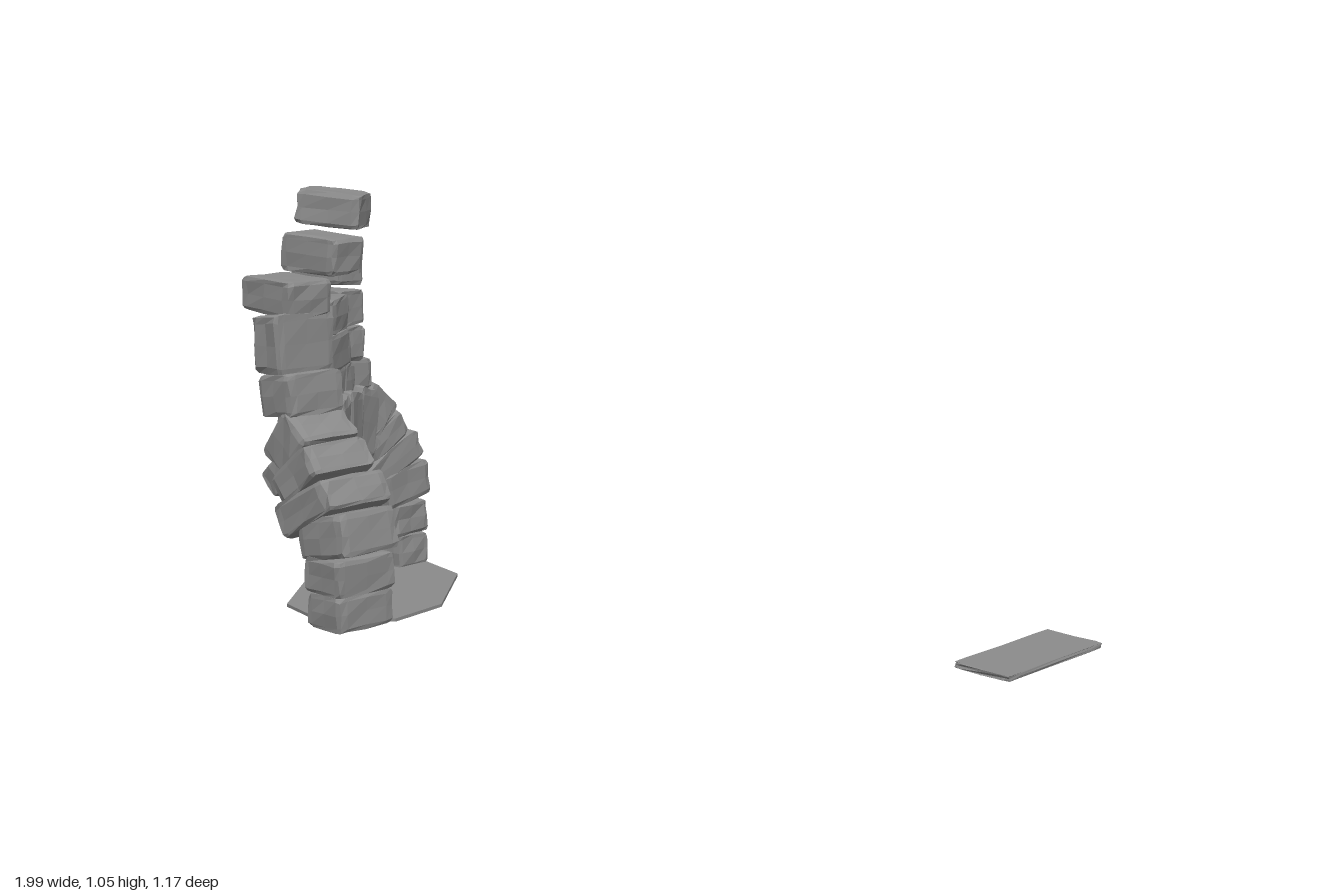
import * as THREE from 'three';

const rad = THREE.MathUtils.degToRad;
const stoneGrey = new THREE.MeshStandardMaterial({ color: 0x8a8a8a, flatShading: true });

// small repeatable noise in -1..1
function noise(a, b, c, seed) {
  const s = Math.sin(a * 127.1 + b * 311.7 + c * 74.7 + seed * 53.3) * 43758.5453;
  return (s - Math.floor(s)) * 2 - 1;
}

// rough-hewn block: a box with worn corners and slightly uneven faces
function stoneGeometry(w, h, d, seed, rough = 0.04, wear = 0.035) {
  const g = new THREE.BoxGeometry(1, 1, 1, 4, 4, 4);
  const p = g.attributes.position;
  for (let i = 0; i < p.count; i++) {
    const v = [p.getX(i), p.getY(i), p.getZ(i)].map(k => Math.round(k * 4) / 4);
    const onEdge = v.filter(k => Math.abs(k) === 0.5).length;
    const shrink = 1 - wear * (onEdge - 1);
    const q = v.map((k, j) => {
      const spread = Math.abs(k) === 0.25 ? 1.5 : 1;
      return k * spread * shrink + noise(v[0] + j, v[1], v[2], seed) * rough * 0.5;
    });
    // one end of the block is a little taller than the other
    q[1] *= 1 + q[0] * 0.12 * noise(1, 2, 3, seed);
    p.setXYZ(i, q[0] * w, q[1] * h, q[2] * d);
  }
  g.computeVertexNormals();
  return g;
}

// x, y, z, length along the arch, height, thickness, tilt in the arch plane
const backPier = [
  [-0.897, 0.058, -0.045, 0.11, 0.088, 0.175, 0],
  [-0.902, 0.147, -0.042, 0.125, 0.092, 0.175, 1],
  [-0.897, 0.243, -0.03, 0.165, 0.1, 0.175, -9],
  [-0.897, 0.308, 0.018, 0.22, 0.08, 0.175, -24],
  [-0.897, 0.378, 0.042, 0.155, 0.075, 0.17, -30],
  [-0.897, 0.45, 0.078, 0.12, 0.11, 0.17, -48],
  [-0.89, 0.36, 0.12, 0.09, 0.07, 0.17, -45],
  [-0.9, 0.555, 0.15, 0.13, 0.085, 0.165, 0],
];
const backPierTop = [
  [-0.89, 0.64, 0.172, 0.1, 0.092, 0.165, 2],
  [-0.885, 0.735, 0.177, 0.1, 0.095, 0.165, -2],
  [-0.885, 0.842, 0.177, 0.1, 0.095, 0.165, 2],
];
const frontPier = [
  [-0.464, 0.058, 0.488, 0.12, 0.088, 0.172, 0],
  [-0.462, 0.147, 0.49, 0.125, 0.092, 0.182, -1],
  [-0.468, 0.243, 0.488, 0.16, 0.105, 0.182, 10],
  [-0.527, 0.307, 0.482, 0.205, 0.085, 0.205, 28],
  [-0.562, 0.383, 0.48, 0.16, 0.08, 0.2, 37],
  [-0.615, 0.45, 0.475, 0.14, 0.1, 0.18, 50],
  [-0.65, 0.37, 0.47, 0.09, 0.07, 0.18, 45],
  [-0.645, 0.567, 0.475, 0.115, 0.105, 0.175, 5],
  [-0.67, 0.69, 0.475, 0.1, 0.145, 0.178, 2],
  [-0.71, 0.803, 0.46, 0.18, 0.088, 0.14, -3],
];
const infill = [
  [-0.785, 0.735, 0.32, 0.17, 0.09, 0.16, 0],
  [-0.79, 0.64, 0.32, 0.23, 0.1, 0.16, 1],
  [-0.845, 0.555, 0.24, 0.1, 0.085, 0.16, 2],
  [-0.79, 0.557, 0.32, 0.1, 0.085, 0.16, -1],
  [-0.735, 0.555, 0.4, 0.1, 0.085, 0.16, 1],
];

export function createModel() {
  const model = new THREE.Group();
  let seed = 1;

  function addStones(name, rows, yaw) {
    const group = new THREE.Group();
    group.name = name;
    for (const [x, y, z, along, high, thick, tilt] of rows) {
      const stone = new THREE.Mesh(stoneGeometry(along, high, thick, seed++), stoneGrey);
      stone.name = name + 'Stone';
      stone.position.set(x, y, z);
      stone.rotation.set(0, rad(yaw), rad(tilt), 'YXZ');
      group.add(stone);
    }
    model.add(group);
  }

  addStones('backPier', backPier, -88);
  addStones('backPierTop', backPierTop, -80);
  addStones('frontPier', frontPier, 0);
  addStones('infill', infill, -55);

  // fan of upright stones at the crown of the opening
  const crown = new THREE.CatmullRomCurve3([
    new THREE.Vector3(-0.86, 0.43, 0.155),
    new THREE.Vector3(-0.775, 0.435, 0.295),
    new THREE.Vector3(-0.68, 0.43, 0.42),
  ]);
  for (let i = 0; i < 4; i++) {
    const t = i / 3;
    const c = crown.getPointAt(t);
    const tilt = (0.5 - t) * 32;
    addStones('keystone', [[c.x, c.y, c.z, 0.108, 0.19, 0.155, tilt]], -68 + 28 * t);
  }

  // loose stones hovering over the gap
  addStones('upperStone', [[-0.71, 0.897, 0.342, 0.172, 0.095, 0.118, -3]], 8);
  addStones('topStone', [[-0.77, 1.002, 0.248, 0.165, 0.088, 0.145, -6]], 35);

  // thin eight-sided floor plate, narrower on its outer side
  const half = [[-0.14, -0.34], [0.045, -0.29], [0.255, -0.03], [0.28, 0.15]];
  const outline = [...half, ...half.map(([x, z]) => [-x * 0.79, -z * 0.79])];
  const shape = new THREE.Shape(outline.map(([x, z]) => new THREE.Vector2(x, -z)));
  const plateGeometry = new THREE.ExtrudeGeometry(shape, { depth: 0.008, bevelEnabled: false });
  plateGeometry.rotateX(-Math.PI / 2);
  const plate = new THREE.Mesh(plateGeometry, stoneGrey);
  plate.name = 'floorPlate';
  plate.position.set(-0.69, 0.012, 0.24);
  model.add(plate);

  // separate flat slab with a slightly uneven rim
  const slab = new THREE.Mesh(stoneGeometry(0.148, 0.014, 0.4, 77, 0.02, 0.008), stoneGrey);
  slab.name = 'looseSlab';
  slab.position.set(0.92, 0.013, -0.38);
  slab.rotation.z = rad(-3);
  model.add(slab);

  return model;
}
